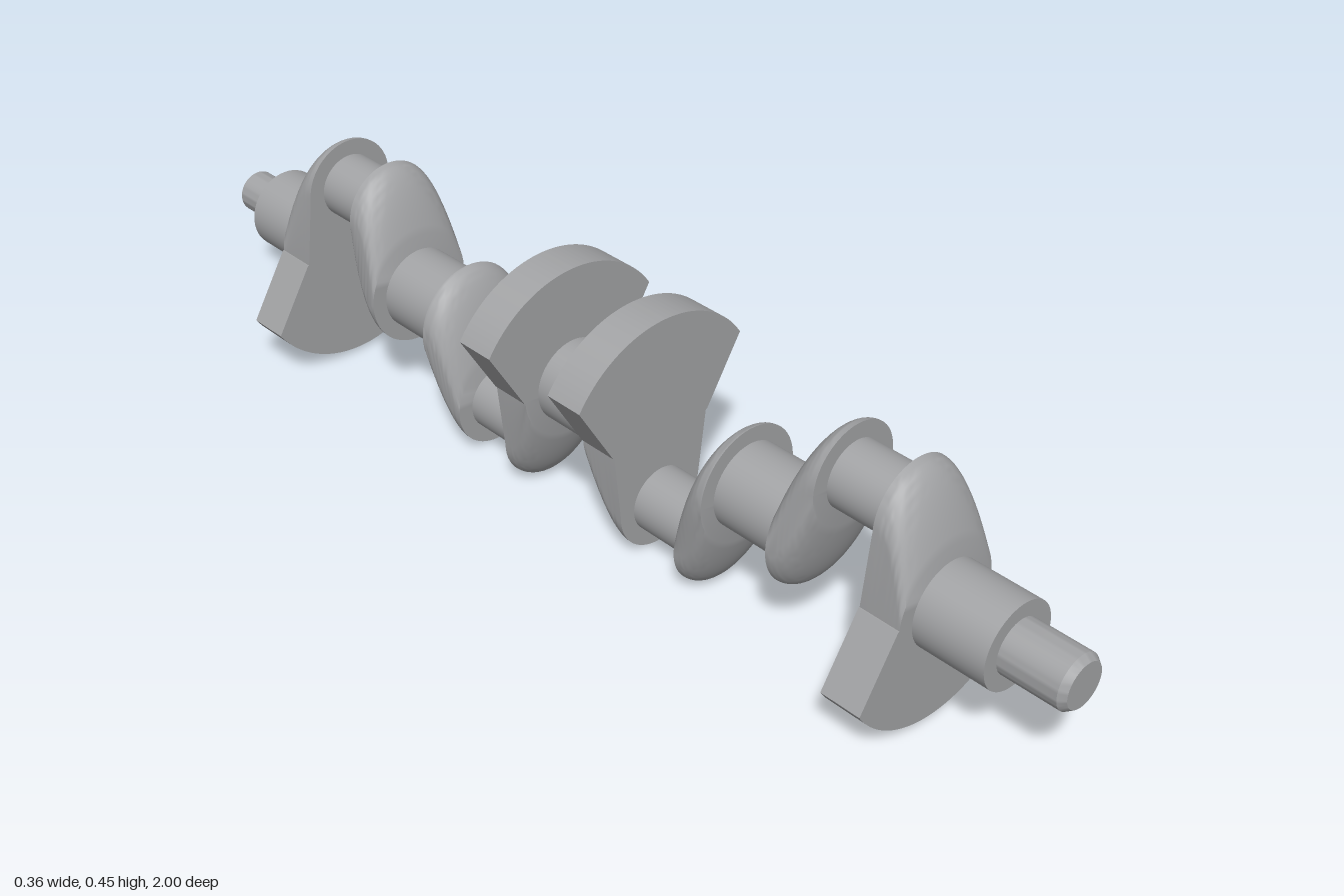
import * as THREE from 'three';
import { toCreasedNormals } from 'three/addons/utils/BufferGeometryUtils.js';

const AXIS_Y = 0.225;  // height of the main axis
const THROW = 0.135;   // offset of the crank pins
const PIN_R = 0.06, MAIN_R = 0.077;
const MIRROR_Z = -0.012;

const steel = new THREE.MeshStandardMaterial({ color: 0xa2a3a5 });
steel.name = 'steel';

function mesh(name, geometry, parent) {
  const m = new THREE.Mesh(geometry, steel);
  m.name = name;
  parent.add(m);
  return m;
}

// Cylinder along z between two z positions
function journal(name, r, z0, z1, y, parent) {
  const m = mesh(name, new THREE.CylinderGeometry(r, r, z1 - z0, 48), parent);
  m.rotation.x = Math.PI / 2;
  m.position.set(0, y, (z0 + z1) / 2);
}

// Turned part along z, profile given as [radius, z] pairs
function turned(name, profile, parent) {
  const points = profile.map(([r, z]) => new THREE.Vector2(r, z));
  const g = toCreasedNormals(new THREE.LatheGeometry(points, 48), 0.5);
  mesh(name, g, parent).rotation.x = Math.PI / 2;
}

// Crank arm lofted from the pin face (z = 0) to the main face (z = length).
// Each section is a slot between two circles that slide along the throw.
function armGeometry(length, fullDepth) {
  const steps = 16, half = 28, n = half * 2 + 2;
  const pos = [], index = [];
  const radius = c => 0.106 - 0.016 * c / THROW;
  for (let i = 0; i <= steps; i++) {
    const s = i / steps;
    const upper = THROW * (1 - s * s);
    const lower = fullDepth ? 0 : THROW * (1 - s) * (1 - s);
    for (let j = 0; j < n; j++) {
      const top = j <= half;
      const c = top ? upper : lower;
      const a = Math.PI * (top ? j / half : 1 + (j - half - 1) / half);
      pos.push(radius(c) * Math.cos(a), c + radius(c) * Math.sin(a), s * length);
    }
  }
  for (let i = 0; i < steps; i++) {
    for (let j = 0; j < n; j++) {
      const a = i * n + j, b = i * n + (j + 1) % n;
      index.push(a, b, b + n, a, b + n, a + n);
    }
  }
  // End faces
  const last = steps * n;
  for (let j = 1; j < n - 1; j++) {
    index.push(0, j + 1, j, last, last + j, last + j + 1);
  }
  const g = new THREE.BufferGeometry();
  g.setAttribute('position', new THREE.Float32BufferAttribute(pos, 3));
  g.setIndex(index);
  return toCreasedNormals(g, 0.7);
}

// Fan-shaped counterweight hanging opposite the pin
function counterweightGeometry(length) {
  const R = 0.217, a = Math.atan2(-0.118, 0.182);
  const s = new THREE.Shape();
  s.moveTo(0.108, 0.004);
  s.lineTo(-0.108, 0.004);
  s.lineTo(-R * Math.cos(a), R * Math.sin(a));
  s.absarc(0, 0, R, Math.PI - a, Math.PI * 2 + a, false);
  s.closePath();
  const g = new THREE.ExtrudeGeometry(s, { depth: length, bevelEnabled: false, curveSegments: 40 });
  return toCreasedNormals(g, 0.5);
}

// One web: zPin and zMain are its faces, up is the direction of the pin
function web(zPin, zMain, up, weighted, parent) {
  const length = Math.abs(zMain - zPin);
  const w = new THREE.Group();
  w.name = weighted ? 'weightedWeb' : 'plainWeb';
  mesh('crankArm', armGeometry(length, weighted), w);
  if (weighted) mesh('counterweight', counterweightGeometry(length), w);
  w.position.z = zPin;
  w.rotation.order = 'YXZ';
  w.rotation.y = zMain > zPin ? 0 : Math.PI;
  w.rotation.z = up > 0 ? 0 : Math.PI;
  parent.add(w);
}

// Two throws with their webs and main journals
function halfCrank(name) {
  const g = new THREE.Group();
  g.name = name;
  const e = 0.005;
  journal('outerMainJournal', MAIN_R, 0.74, 0.88, 0, g);
  web(0.667, 0.745, 1, true, g);
  journal('upperCrankPin', PIN_R, 0.55 - e, 0.667 + e, THROW, g);
  web(0.55, 0.474, 1, false, g);
  journal('innerMainJournal', MAIN_R, 0.334 - e, 0.474 + e, 0, g);
  web(0.26, 0.334, -1, false, g);
  journal('lowerCrankPin', PIN_R, 0.135 - e, 0.26 + e, -THROW, g);
  web(0.135, 0.06, -1, true, g);
  return g;
}

export function createModel() {
  const model = new THREE.Group();
  model.name = 'crankshaft';
  const shaft = new THREE.Group();
  shaft.name = 'shaft';
  shaft.position.y = AXIS_Y;
  model.add(shaft);

  // Matching halves, the rear one turned about the vertical axis
  shaft.add(halfCrank('frontHalf'));
  const rear = halfCrank('rearHalf');
  rear.rotation.y = Math.PI;
  rear.position.z = 2 * MIRROR_Z;
  shaft.add(rear);
  journal('centreMainJournal', MAIN_R, -0.089, 0.065, 0, shaft);

  // Front end: solid nose with a chamfer
  turned('frontNose', [[0.049, 0.875], [0.049, 0.988], [0.04, 1], [0, 1]], shaft);

  // Rear end: thinner nose with a centre bore
  turned('rearNose', [[0, -0.95], [0.018, -0.96], [0.018, -1], [0.037, -1],
    [0.04, -0.997], [0.04, -0.9]], shaft);

  return model;
}
